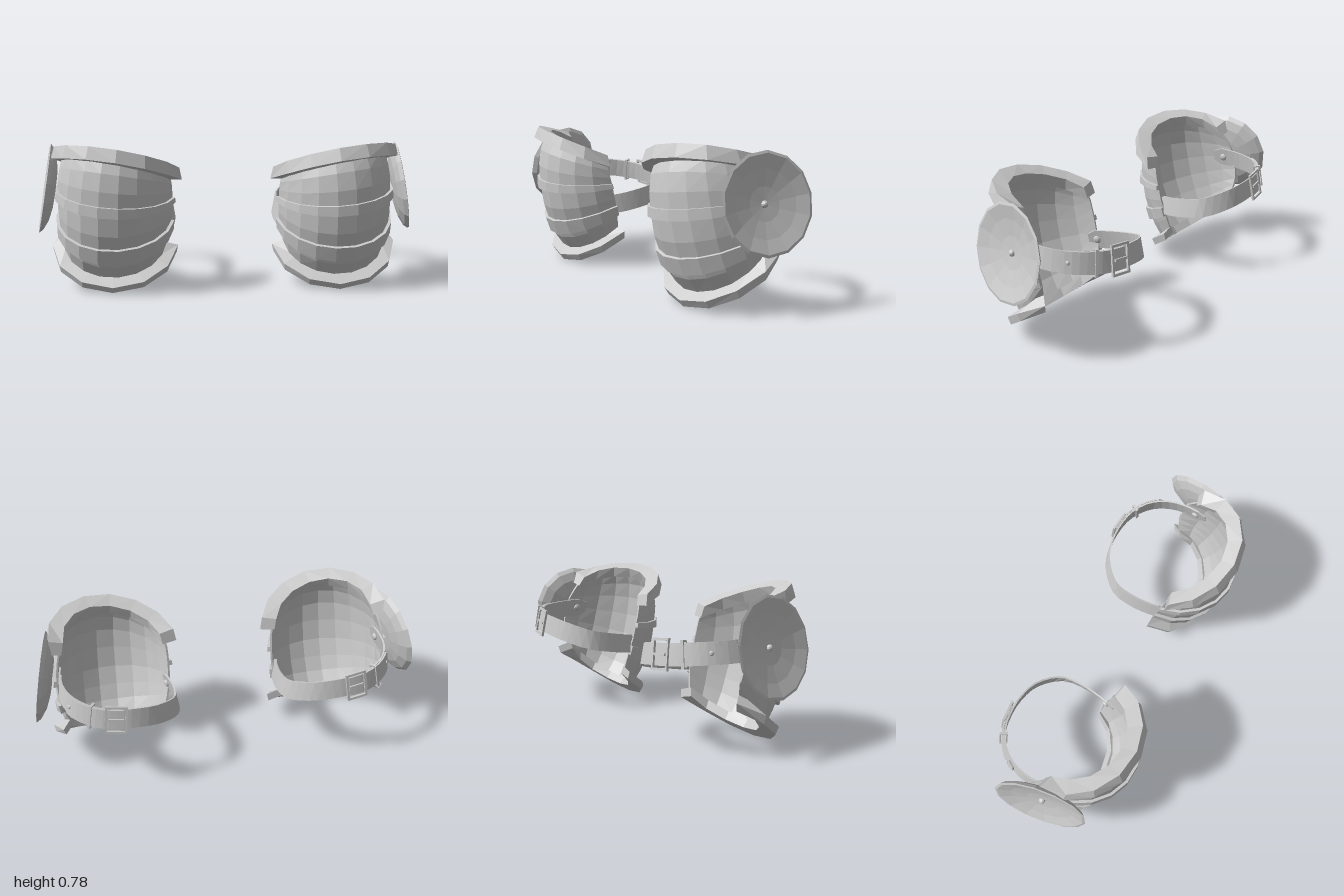
import * as THREE from 'three';

const V = (x, y, z) => new THREE.Vector3(x, y, z);
const grey = new THREE.MeshStandardMaterial({ color: 0xcccccc, flatShading: true, side: THREE.DoubleSide });

function mesh(geometry, name, parent) {
  const m = new THREE.Mesh(geometry, grey);
  m.name = name;
  parent.add(m);
  return m;
}

// Reverse the corner order of every triangle
function flip(g) {
  for (const a of Object.values(g.attributes)) {
    const n = a.itemSize;
    for (let i = 0; i < a.count; i += 3) {
      for (let k = 0; k < n; k++) {
        const p = (i + 1) * n + k, q = (i + 2) * n + k;
        [a.array[p], a.array[q]] = [a.array[q], a.array[p]];
      }
    }
  }
  return g;
}

// Closed solid through equal rings of points, capped at both ends
function skin(rings) {
  const pos = [];
  const tri = (...ps) => ps.forEach((p) => pos.push(p.x, p.y, p.z));
  const quad = (a, b, c, d) => { tri(a, b, c); tri(a, c, d); };
  const n = rings[0].length;
  for (let i = 0; i + 1 < rings.length; i++) {
    for (let j = 0; j < n; j++) {
      const k = (j + 1) % n;
      quad(rings[i][j], rings[i][k], rings[i + 1][k], rings[i + 1][j]);
    }
  }
  const cap = (r, back) => {
    for (let j = 0; j + 1 < n / 2; j++) {
      const q = [r[j], r[n - 1 - j], r[n - 2 - j], r[j + 1]];
      quad(...(back ? q.reverse() : q));
    }
  };
  cap(rings[0], false);
  cap(rings[rings.length - 1], true);
  let volume = 0;
  for (let i = 0; i < pos.length; i += 9) {
    const [a, b, c] = [0, 3, 6].map((o) => V(pos[i + o], pos[i + o + 1], pos[i + o + 2]));
    volume += a.dot(b.cross(c));
  }
  const g = new THREE.BufferGeometry();
  g.setAttribute('position', new THREE.Float32BufferAttribute(pos, 3));
  if (volume < 0) flip(g);
  g.computeVertexNormals();
  return g;
}

// Plate rows: front y, front z, side y, side z, half width, centre x, tilt
const rows = [
  [0.075, 0.195, 0.23, 0.0, 0.275, 0.588, 0],
  [0.14, 0.245, 0.29, 0.0, 0.288, 0.586, 0],
  [0.22, 0.283, 0.345, 0.0, 0.298, 0.584, 0],
  [0.32, 0.32, 0.41, 0.005, 0.304, 0.582, 0.01],
  [0.44, 0.34, 0.485, 0.01, 0.305, 0.58, 0.02],
  [0.55, 0.347, 0.54, 0.015, 0.302, 0.576, 0.035],
  [0.64, 0.335, 0.58, 0.02, 0.295, 0.57, 0.045],
  [0.70, 0.31, 0.615, 0.03, 0.285, 0.565, 0.055],
];

// Point on the knee plate for row v (0..7) and sweep s (0 inner .. 1 outer)
function platePoint(v, s) {
  const i = Math.max(0, Math.min(6, Math.floor(v)));
  const [yF, zF, yS, zS, rx, cx, tilt] = rows[i].map((a, k) => THREE.MathUtils.lerp(a, rows[i + 1][k], v - i));
  const t = THREE.MathUtils.degToRad(THREE.MathUtils.lerp(-85 + 10 * v / 7, 115 - 20 * v / 7, s));
  const c = Math.cos(t), n = Math.sin(t);
  return V(cx + rx * n, yF + (yS - yF) * (1 - c) + tilt * n, zS + (zF - zS) * c);
}

// Sweep a loop of [row, offset outward, offset upward] around the plate
function plateSweep(loop, steps) {
  const rings = [];
  for (let i = 0; i <= steps; i++) {
    const s = i / steps;
    rings.push(loop.map(([v, a, b = 0]) => {
      const up = platePoint(v + 0.05, s).sub(platePoint(v - 0.05, s)).normalize();
      const side = platePoint(v, s + 0.01).sub(platePoint(v, s - 0.01)).normalize();
      const out = side.cross(up).normalize();
      return platePoint(v, s).addScaledVector(out, a).addScaledVector(up, b);
    }));
  }
  return skin(rings);
}

// Strap path from the inner end, around the back, to the outer end
const path = new THREE.CatmullRomCurve3([
  V(0.31, 0.35, 0.09), V(0.288, 0.36, 0), V(0.28, 0.38, -0.12), V(0.3, 0.4, -0.22), V(0.4, 0.44, -0.315),
  V(0.5, 0.46, -0.345), V(0.59, 0.47, -0.348), V(0.7, 0.482, -0.325), V(0.8, 0.495, -0.25),
  V(0.852, 0.5, -0.15), V(0.864, 0.505, -0.05), V(0.855, 0.51, 0.06),
]);

// Position, direction, outward and upward axes on the strap, leaning in at the top
function strapFrame(t) {
  const p = path.getPointAt(t), d = path.getTangentAt(t);
  const flat = V(0, 1, 0).cross(d).normalize();
  const out = V(0, 0.17, 0).add(flat).normalize();
  out.addScaledVector(d, -out.dot(d)).normalize();
  return { p, d, out, up: out.clone().cross(d).negate().normalize() };
}

function strap(t0, t1, steps, half, offset, startHalf, endHalf) {
  const rings = [];
  for (let i = 0; i <= steps; i++) {
    const { p, out, up } = strapFrame(THREE.MathUtils.lerp(t0, t1, i / steps));
    if (up.y < 0) up.negate();
    const h = i === 0 ? startHalf : i === steps ? endHalf : half;
    rings.push([[h, 0], [-h, 0], [-h, 0.009], [h, 0.009]].map(([y, o]) =>
      p.clone().addScaledVector(up, y).addScaledVector(out, offset + o)));
  }
  return skin(rings);
}

// Local group on the strap: y across it, z outward
function onStrap(t, name, parent) {
  const { p, up, out } = strapFrame(t);
  const g = new THREE.Group();
  g.name = name;
  g.position.copy(p);
  g.quaternion.setFromRotationMatrix(new THREE.Matrix4().makeBasis(up.clone().cross(out), up, out));
  parent.add(g);
  return g;
}

function rivet(r, parent, z) {
  const m = mesh(new THREE.SphereGeometry(r, 10, 6), 'rivet', parent);
  m.scale.z = 0.55;
  m.position.z = z;
}

// Flat rectangular ring
function frame(w, h, bar, depth) {
  const corners = (a, b) => [[-a, -b], [a, -b], [a, b], [-a, b]].map(([x, y]) => new THREE.Vector2(x, y));
  const shape = new THREE.Shape(corners(w, h));
  shape.holes.push(new THREE.Path(corners(w - bar, h - bar)));
  return new THREE.ExtrudeGeometry(shape, { depth, bevelEnabled: false });
}

function kneeGuard() {
  const g = new THREE.Group();
  // Curved plate, raised bands and thick rims
  const outer = rows.map((_, i) => [i, 0]);
  const inner = rows.map((_, i) => [7 - i, -0.01]);
  mesh(plateSweep([...outer, ...inner], 10), 'kneePlate', g);
  mesh(plateSweep([[3.87, -0.005], [3.87, 0.018], [4.32, 0.014], [4.32, -0.005]], 10), 'middleBand', g);
  mesh(plateSweep([[1.4, -0.005], [1.4, 0.02], [2.3, 0.016], [2.3, -0.005]], 10), 'lowerBand', g);
  mesh(plateSweep([[7, -0.02, -0.012], [7, 0.058, -0.018], [7, 0.058, 0.049], [7, -0.02, 0.049]], 7), 'topRim', g);
  mesh(plateSweep([[0, -0.02, -0.045], [0, 0.065, -0.045], [0, 0.063, -0.004], [0, -0.02, 0]], 7), 'bottomRim', g);

  // Side disc, a shallow dish open to the outside with a central stud
  const disc = new THREE.Group();
  disc.name = 'sideDisc';
  disc.position.set(0.948, 0.517, 0.024);
  disc.quaternion.setFromUnitVectors(V(0, 1, 0), V(1, 0.18, 0.15).normalize());
  g.add(disc);
  const profile = [[0, -0.055], [0.1, -0.052], [0.17, -0.04], [0.218, -0.02], [0.238, 0],
    [0.225, 0.003], [0.16, -0.014], [0.08, -0.027], [0, -0.032]];
  mesh(new THREE.LatheGeometry(profile.map(([x, y]) => new THREE.Vector2(x, y)), 14), 'discDish', disc);
  mesh(new THREE.SphereGeometry(0.017, 10, 6), 'discStud', disc).position.y = -0.03;

  // Strap in two layers
  mesh(strap(0, 1, 28, 0.052, -0.005, 0.028, 0.028), 'strap', g);
  mesh(strap(0.53, 0.8, 10, 0.052, 0.005, 0.052, 0.018), 'strapOverlap', g);
  [0.04, 0.95].forEach((t) => rivet(0.021, onStrap(t, 'strapEnd', g), -0.008));
  rivet(0.011, onStrap(0.76, 'strapStud', g), 0.015);

  // Buckle with prong, and a keeper loop
  const buckle = onStrap(0.56, 'buckle', g);
  mesh(frame(0.055, 0.074, 0.012, 0.012), 'buckleFrame', buckle).position.z = 0.008;
  mesh(new THREE.BoxGeometry(0.075, 0.012, 0.01), 'prong', buckle).position.z = 0.018;
  const keeper = onStrap(0.66, 'keeper', g);
  const loop = mesh(frame(0.02, 0.064, 0.007, 0.014), 'keeperLoop', keeper);
  loop.rotation.y = Math.PI / 2;
  loop.position.set(-0.007, 0, 0.004);
  return g;
}

// Bake transforms and mirror a guard across x
function mirrored(source) {
  const g = new THREE.Group();
  source.updateMatrixWorld(true);
  source.traverse((o) => {
    if (!o.isMesh) return;
    const geo = (o.geometry.index ? o.geometry.toNonIndexed() : o.geometry.clone()).applyMatrix4(o.matrixWorld);
    flip(geo.scale(-1, 1, 1)).computeVertexNormals();
    mesh(geo, o.name, g);
  });
  return g;
}

export function createModel() {
  const model = new THREE.Group();
  const left = kneeGuard();
  const right = mirrored(left);
  left.name = 'leftKneeGuard';
  right.name = 'rightKneeGuard';
  model.add(left, right);
  return model;
}
